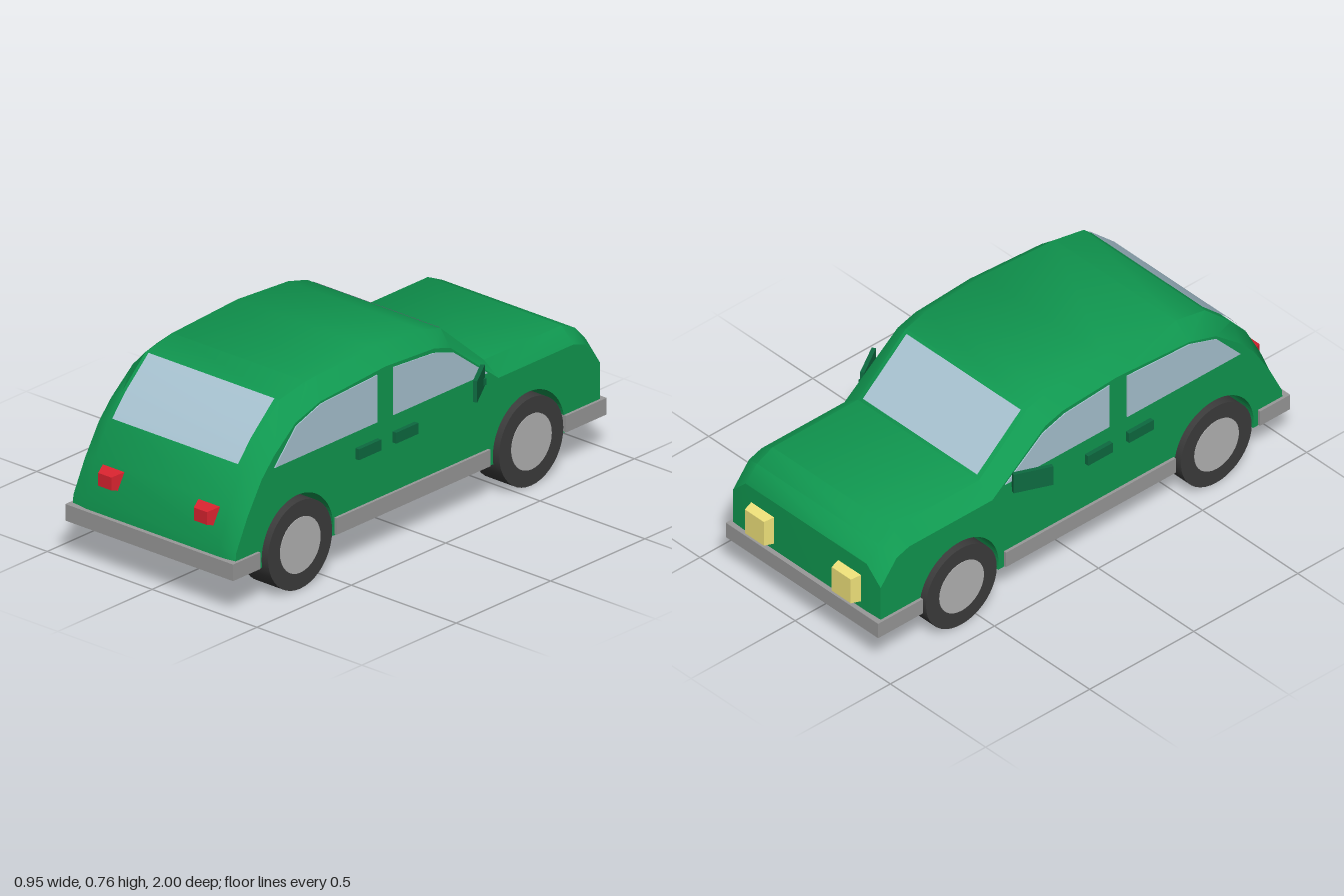
import * as THREE from 'three';
import { toCreasedNormals } from 'three/addons/utils/BufferGeometryUtils.js';

const mat = (color) => new THREE.MeshStandardMaterial({ color });
const paint = mat(0x109850), glass = mat(0xa8c3d1), rubber = mat(0x3c3c3c), hubGrey = mat(0xb4b4b4);
const trim = mat(0x999999), red = mat(0xd8232f), yellow = mat(0xf0e27a), darkPaint = mat(0x0d6a40);
glass.side = THREE.DoubleSide;

// Side profiles as [z, y], from the tail over the roof to the nose
const OUTER = [[.985, .14], [.98, .25], [.93, .39], [.86, .52], [.79, .6], [.665, .713], [.525, .74], [.18, .758],
  [-.09, .74], [-.19, .713], [-.42, .515], [-.83, .515], [-.905, .48], [-.96, .42], [-.96, .14]];
const INNER = [[.98, .14], [.97, .24], [.91, .36], [.835, .48], [.77, .55], [.655, .642], [.525, .682], [.18, .705],
  [-.08, .69], [-.165, .665], [-.42, .465], [-.82, .465], [-.88, .445], [-.957, .35], [-.957, .14]];
const WHEEL_Z = [.645, -.58], WHEEL_R = .17, ARCH_R = .19;
const HALF = .388, FLOOR = .14, WELL = .25;

// Surface through equal-length [z, y] profiles placed at rising x
function loft(rings) {
  const pos = [], idx = [], n = rings[0][1].length;
  for (const [x, pts] of rings) for (const [z, y] of pts) pos.push(x, y, z);
  for (let j = 0; j < rings.length - 1; j++) {
    for (let i = 0; i < n - 1; i++) {
      const a = j * n + i, b = a + n;
      idx.push(a, b, a + 1, b, b + 1, a + 1);
    }
  }
  const g = new THREE.BufferGeometry();
  g.setAttribute('position', new THREE.Float32BufferAttribute(pos, 3));
  g.setIndex(idx);
  return toCreasedNormals(g, .7);
}

// Extrude a [z, y] shape from x0 to x1
function slab(shape, x0, x1) {
  const g = new THREE.ExtrudeGeometry(shape, { depth: x1 - x0, bevelEnabled: false, curveSegments: 20 });
  g.rotateY(-Math.PI / 2);
  g.translate(x1, 0, 0);
  return g;
}

const toShape = (pts) => new THREE.Shape(pts.map(([z, y]) => new THREE.Vector2(z, y)));

// Inner profile with the wheel arches cut from its lower edge
function archedShape() {
  const s = toShape(INNER);
  const a = Math.asin((FLOOR - WHEEL_R) / ARCH_R);
  for (const z of [...WHEEL_Z].reverse()) s.absarc(z, WHEEL_R, ARCH_R, Math.PI - a, a, true);
  return s;
}

// Box whose outer z end is narrowed, for lamps
function lamp(w, h, d, sx, sy, dir) {
  const g = new THREE.BoxGeometry(w, h, d);
  const p = g.attributes.position;
  for (let i = 0; i < p.count; i++) {
    if (p.getZ(i) * dir > 0) p.setXY(i, p.getX(i) * sx, p.getY(i) * sy);
  }
  g.computeVertexNormals();
  return g;
}

export function createModel() {
  const car = new THREE.Group();
  car.name = 'car';
  const add = (name, geo, material, x = 0, y = 0, z = 0) => {
    const m = new THREE.Mesh(geo, material);
    m.name = name;
    m.position.set(x, y, z);
    car.add(m);
    return m;
  };
  const box = (name, material, w, h, d, x, y, z) => add(name, new THREE.BoxGeometry(w, h, d), material, x, y, z);

  // Body: bevelled skin, solid core and side panels with wheel wells
  add('bodySkin', loft([[-HALF, INNER], [-.318, OUTER], [.318, OUTER], [HALF, INNER]]), paint);
  add('bodyCore', slab(toShape(INNER), -WELL, WELL), paint);
  const arched = archedShape();
  add('leftBodySide', slab(arched, WELL, HALF), paint);
  add('rightBodySide', slab(arched, -HALF, -WELL), paint);

  // Windscreen and rear window lie just above the skin
  const windscreen = [[-.203, .707], [-.413, .526]];
  const rearWindow = [[.863, .524], [.794, .604], [.67, .716]];
  add('windscreen', loft([[-.3, windscreen], [.3, windscreen]]), glass);
  add('rearWindow', loft([[-.3, rearWindow], [.3, rearWindow]]), glass);

  const rearSide = toShape([[.77, .505], [.225, .505], [.225, .688], [.525, .674], [.655, .63]]);
  const frontSide = toShape([[.14, .505], [.14, .69], [-.075, .675], [-.18, .642], [-.36, .505]]);

  for (const s of [1, -1]) {
    const side = s > 0 ? 'left' : 'right';

    // Side windows and door handles
    for (const [name, shape] of [['RearSideWindow', rearSide], ['FrontSideWindow', frontSide]]) {
      const x = s * (HALF + .001);
      add(side + name, slab(shape, x - .003, x + .003), glass);
    }
    for (const z of [.28, .083]) box(side + 'DoorHandle', darkPaint, .04, .042, .118, s * .386, .42, z);

    // Door mirror, splayed outwards, on a short stem
    const mirror = box(side + 'Mirror', darkPaint, .016, .082, .15, s * .432, .507, -.267);
    mirror.rotation.y = s > 0 ? .55 : -.4;
    box(side + 'MirrorStem', darkPaint, .04, .025, .025, s * .395, .49, -.315);

    // Wheels
    for (const z of WHEEL_Z) {
      const name = side + (z > 0 ? 'Rear' : 'Front');
      const tyre = add(name + 'Tyre', new THREE.CylinderGeometry(WHEEL_R, WHEEL_R, .13, 40), rubber, s * .335, WHEEL_R, z);
      const hub = add(name + 'Hub', new THREE.CylinderGeometry(.107, .107, .134, 32), hubGrey, s * .335, WHEEL_R, z);
      tyre.rotation.z = hub.rotation.z = Math.PI / 2;
    }

    // Lamps
    add(side + 'TailLamp', lamp(.114, .08, .06, .55, .62, 1), red, s * .228, .34, .952);
    add(side + 'Headlamp', lamp(.125, .12, .05, .8, .88, -1), yellow, s * .228, .295, -.975);
  }

  // Bumpers and sill strip
  const strips = [['rearBumper', .855, 1], ['sillStrip', -.365, .45], ['frontBumper', -.98, -.765]];
  for (const [name, z0, z1] of strips) box(name, trim, .8, .064, z1 - z0, 0, .177, (z0 + z1) / 2);

  // The body sits slightly off centre between the uneven mirrors
  for (const part of car.children) part.position.x -= .014;
  return car;
}
